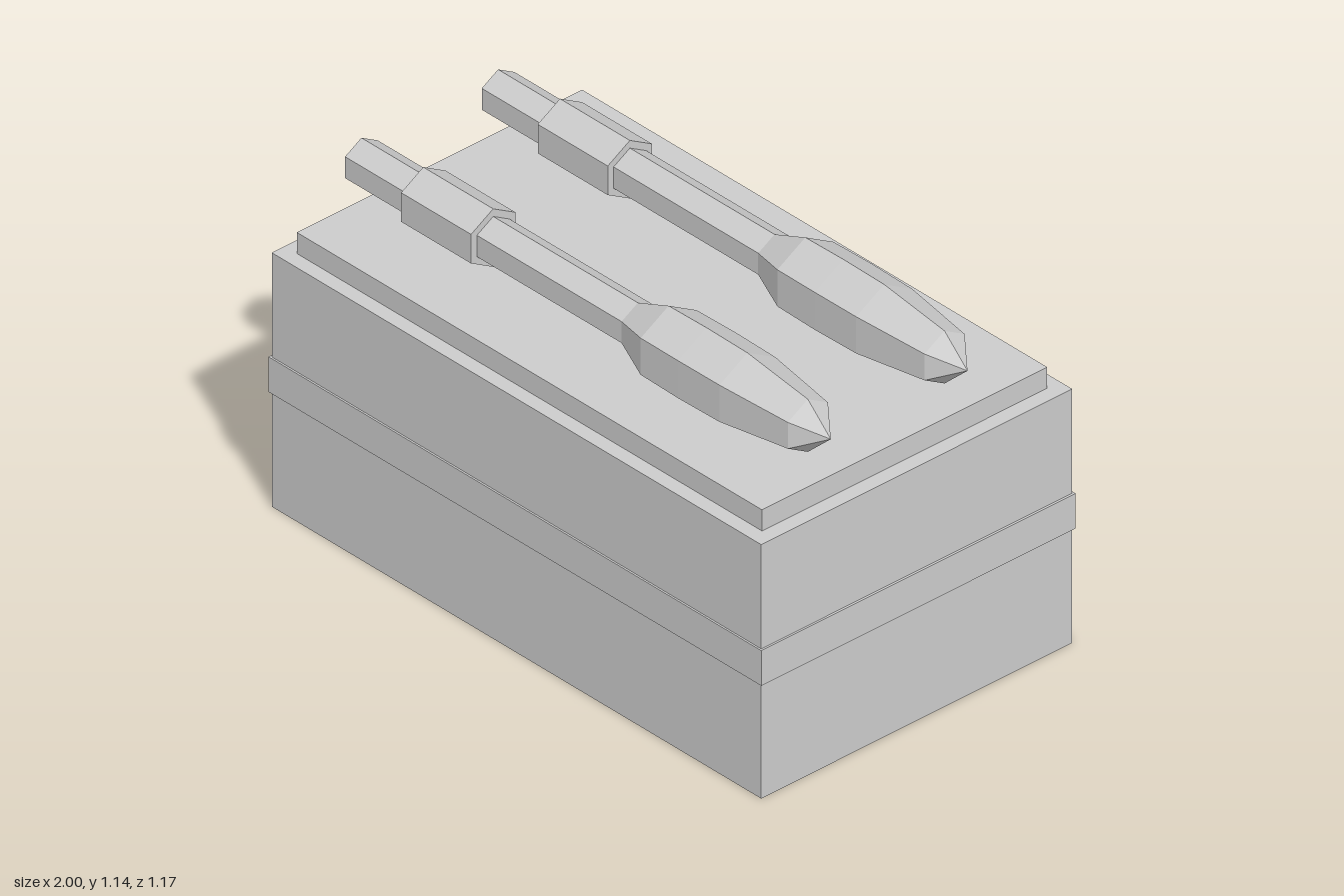
import * as THREE from 'three';

const grey = new THREE.MeshStandardMaterial({ color: 0xcccccc });
grey.name = 'light grey';

function box(name, w, d, y0, y1) {
  const mesh = new THREE.Mesh(new THREE.BoxGeometry(w, y1 - y0, d), grey);
  mesh.name = name;
  mesh.position.y = (y0 + y1) / 2;
  return mesh;
}

// Six-sided flat-faceted solid along x, from [x, radius] pairs, with a ridge on top
function hexSolid(name, profile) {
  const points = profile.map(([x, r]) => new THREE.Vector2(r, x));
  const geometry = new THREE.LatheGeometry(points, 6, Math.PI / 2).rotateZ(-Math.PI / 2).toNonIndexed();
  geometry.computeVertexNormals();
  const mesh = new THREE.Mesh(geometry, grey);
  mesh.name = name;
  return mesh;
}

function createRocket(name, z) {
  const rocket = new THREE.Group();
  rocket.name = name;
  rocket.add(
    // shaft flaring into the warhead and tapering to a point
    hexSolid('shaftAndWarhead', [
      [-0.957, 0], [-0.957, 0.07], [0.165, 0.07], [0.29, 0.12], [0.445, 0.1225],
      [0.61, 0.12], [0.855, 0.086], [0.948, 0],
    ]),
    // thicker sleeve near the tail
    hexSolid('tailCollar', [[-0.706, 0], [-0.706, 0.095], [-0.422, 0.095], [-0.422, 0]]),
  );
  rocket.position.set(0, 1.022, z);
  return rocket;
}

export function createModel() {
  const model = new THREE.Group();
  model.name = 'rocketCrate';
  model.add(
    box('crateBody', 1.986, 1.156, 0, 0.831),
    box('crateBand', 2, 1.168, 0.375, 0.49),
    box('crateLid', 1.888, 1.06, 0.831, 0.9),
    createRocket('frontRocket', 0.278),
    createRocket('backRocket', -0.23),
  );
  return model;
}
